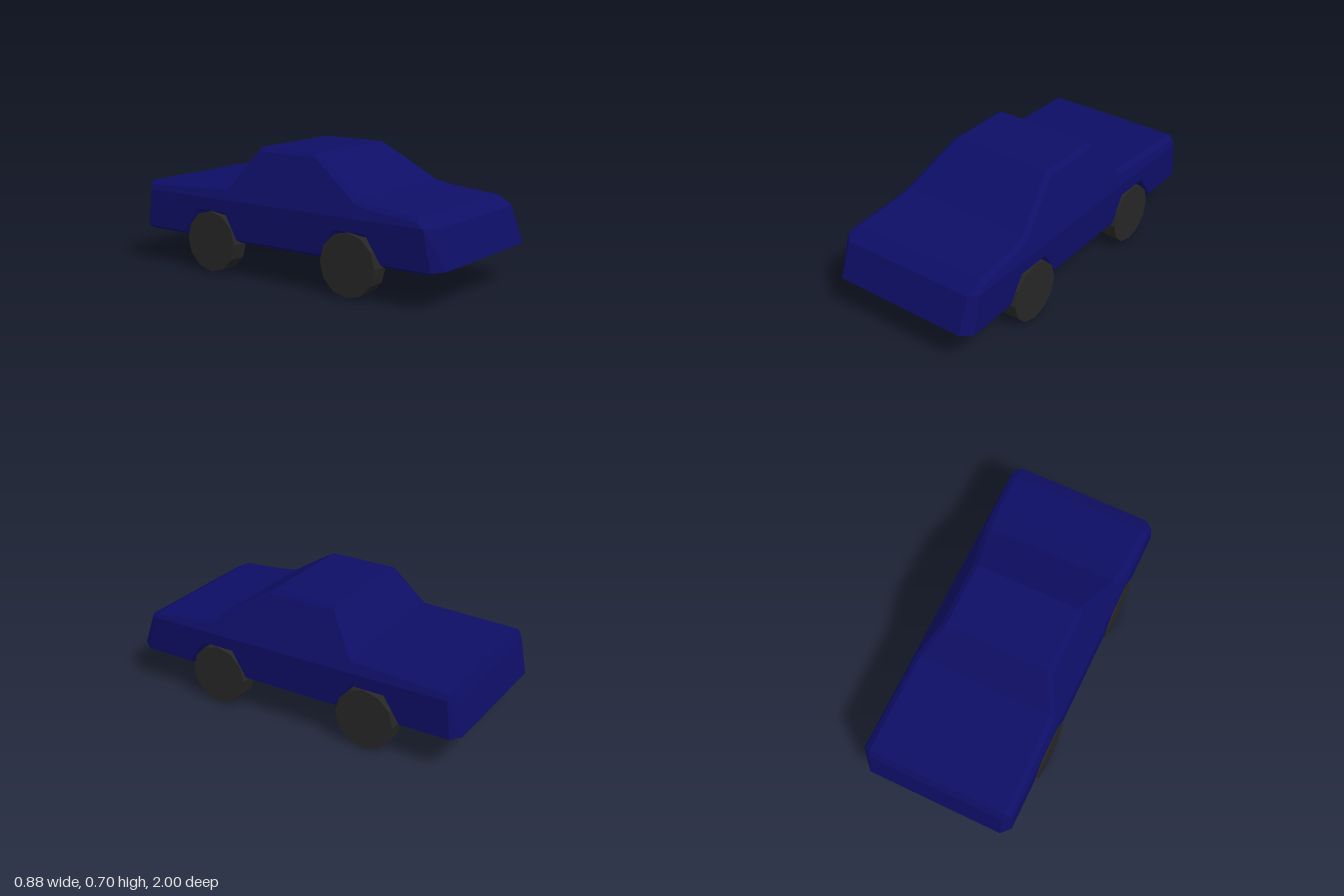
import * as THREE from 'three';

// Side profiles as [z, y], front to back
const ROOF = [[0.84, 0.455], [0.57, 0.48], [0.47, 0.5], [0.27, 0.63], [0.16, 0.698],
  [-0.22, 0.698], [-0.37, 0.485], [-0.94, 0.46]];
const FLOOR = [[0.84, 0.18], [0.65, 0.18], [0.555, 0.32], [0.355, 0.32], [0.27, 0.18],
  [-0.29, 0.18], [-0.37, 0.32], [-0.58, 0.32], [-0.67, 0.18], [-0.94, 0.18]];
const BELT_X = 0.435, BELT_Y = 0.41;

// Height of a profile at z
function heightAt(profile, z) {
  for (let i = 0; i < profile.length - 1; i++) {
    const [z0, y0] = profile[i], [z1, y1] = profile[i + 1];
    if (z <= z0 && z >= z1) return y0 + (y1 - y0) * (z0 - z) / (z0 - z1);
  }
  return profile[profile.length - 1][1];
}

// Mirror a half section (bottom to top, +x side) into a full ring
function ring(half) {
  const points = half.map(p => new THREE.Vector3(...p));
  const mirrored = half.map(([x, y, z]) => new THREE.Vector3(-x, y, z)).reverse();
  return [...points, ...mirrored];
}

// Body section: floor edge, sill, beltline, shoulder, roof edge
function section(z, zs = [z, z, z, z, z]) {
  const top = heightAt(ROOF, z), floor = heightAt(FLOOR, z);
  const shoulderX = BELT_X - 0.42 * (top - 0.02 - BELT_Y);
  return ring([
    [0.4, floor, zs[0]],
    [BELT_X, floor + 0.02, zs[1]],
    [BELT_X, BELT_Y, zs[2]],
    [shoulderX, top - 0.02, zs[3]],
    [shoulderX - 0.03, top, zs[4]],
  ]);
}

// Sloping flat panel that closes the nose or tail
function endRing(zLow, zHigh, yHigh) {
  const low = [0.39, 0.21, zLow], high = [0.39, yHigh, zHigh];
  return ring([low, low, high, high, high]);
}

function bodyGeometry() {
  const zs = [...new Set([...ROOF, ...FLOOR].map(p => p[0]))].sort((a, b) => b - a);
  const rings = [
    endRing(1, 0.93, 0.405),
    section(0.84, [0.89, 0.94, 0.89, 0.85, 0.84]),
    ...zs.slice(1, -1).map(z => section(z)),
    section(-0.94, [-0.94, -0.95, -0.93, -0.935, -0.94]),
    endRing(-1, -0.965, 0.41),
  ];
  const positions = [];
  const triangle = (a, b, c) => {
    if (a.equals(b) || b.equals(c) || a.equals(c)) return;
    for (const p of [a, b, c]) positions.push(p.x, p.y, p.z);
  };
  // Skin between neighbouring rings
  for (let i = 0; i < rings.length - 1; i++) {
    const r = rings[i], s = rings[i + 1], n = r.length;
    for (let j = 0; j < n; j++) {
      const k = (j + 1) % n;
      triangle(r[j], s[j], r[k]);
      triangle(r[k], s[j], s[k]);
    }
  }
  // Nose and tail panels
  const nose = rings[0], tail = rings[rings.length - 1];
  for (let j = 1; j < nose.length - 1; j++) {
    triangle(nose[0], nose[j], nose[j + 1]);
    triangle(tail[0], tail[j + 1], tail[j]);
  }
  const geometry = new THREE.BufferGeometry();
  geometry.setAttribute('position', new THREE.Float32BufferAttribute(positions, 3));
  geometry.computeVertexNormals();
  return geometry;
}

export function createModel() {
  const car = new THREE.Group();
  car.name = 'car';
  const paint = new THREE.MeshStandardMaterial({ color: 0x0e0e66, flatShading: true });
  const rubber = new THREE.MeshStandardMaterial({ color: 0x262626, flatShading: true });

  const body = new THREE.Mesh(bodyGeometry(), paint);
  body.name = 'body';
  car.add(body);

  // Four twelve-sided wheels
  const wheelGeometry = new THREE.CylinderGeometry(0.169, 0.169, 0.1, 12).rotateZ(Math.PI / 2);
  for (const [end, z] of [['front', 0.45], ['rear', -0.47]]) {
    for (const [side, sign] of [['Left', 1], ['Right', -1]]) {
      const wheel = new THREE.Mesh(wheelGeometry, rubber);
      wheel.name = `${end}${side}Wheel`;
      wheel.position.set(sign * 0.391, 0.169, z);
      car.add(wheel);
    }
  }
  return car;
}
